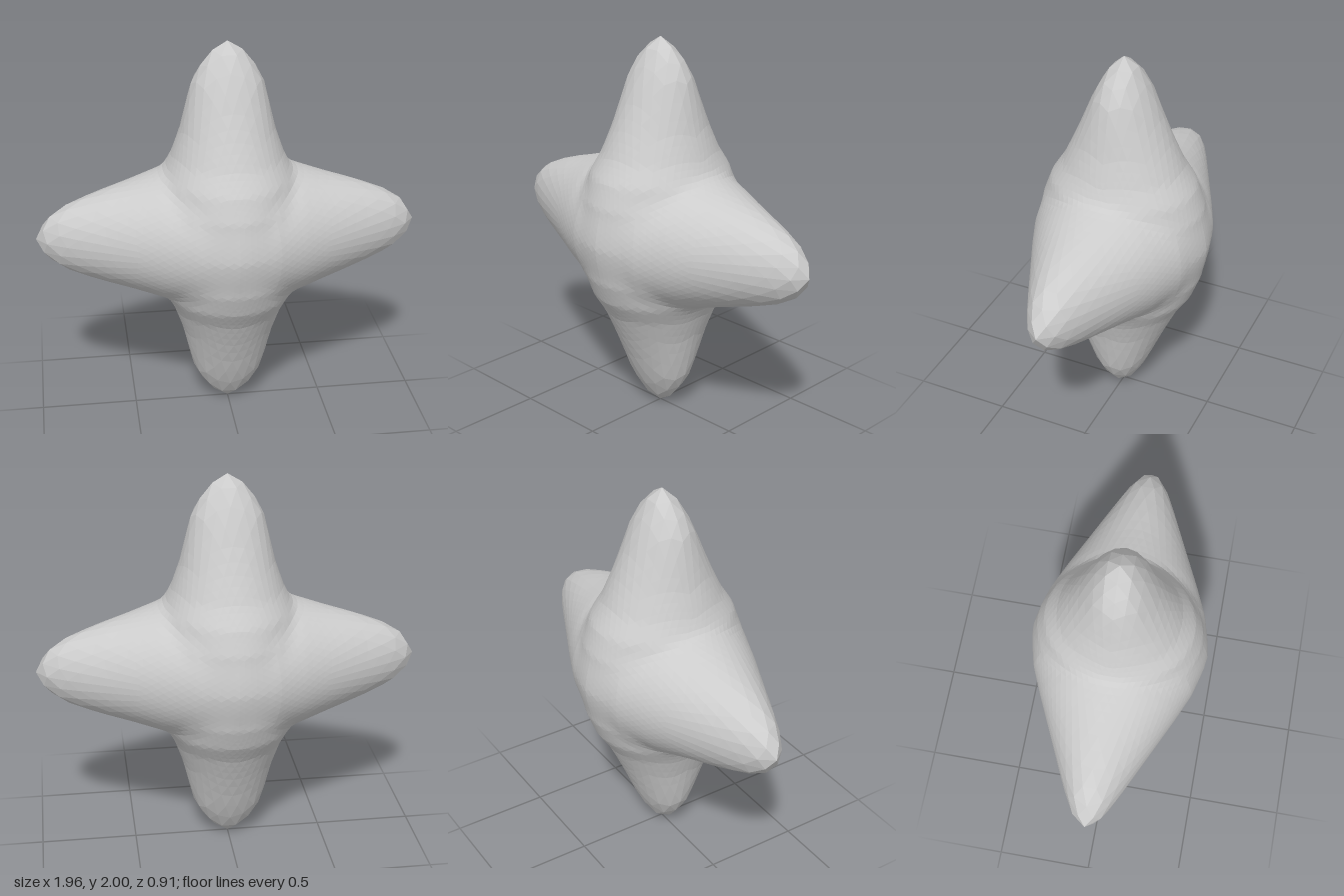
import * as THREE from 'three';

// Each row: distance along the arm, half-width across the front, half-depth
const SIDE_ARM = [
  [0, 0.36, 0.447], [0.2, 0.36, 0.415], [0.35, 0.33, 0.35], [0.5, 0.28, 0.28], [0.65, 0.235, 0.21],
  [0.78, 0.19, 0.15], [0.88, 0.145, 0.1], [0.94, 0.085, 0.062], [0.98, 0, 0],
];
const UPRIGHT_ARM = [
  [0, 0.36, 0.447], [0.2, 0.355, 0.42], [0.32, 0.335, 0.375], [0.42, 0.285, 0.31], [0.55, 0.24, 0.25],
  [0.7, 0.205, 0.185], [0.8, 0.18, 0.145], [0.89, 0.13, 0.1], [0.96, 0.07, 0.055], [1, 0, 0],
];

function sectionAt(rows, s) {
  for (let i = 1; i < rows.length; i++) {
    const a = rows[i - 1], b = rows[i];
    if (s <= b[0]) {
      const f = (s - a[0]) / (b[0] - a[0]);
      return [a[1] + (b[1] - a[1]) * f, a[2] + (b[2] - a[2]) * f];
    }
  }
  return [0, 0];
}

// Distance from the centre to the skin of one arm, along a unit direction
function reach(rows, along, across, depth) {
  let lo = 0, hi = 1.05;
  for (let i = 0; i < 28; i++) {
    const t = (lo + hi) / 2;
    const [w, d] = sectionAt(rows, Math.abs(along) * t);
    const inside = w > 0 && Math.hypot((across * t) / w, (depth * t) / d) < 1;
    if (inside) lo = t; else hi = t;
  }
  return lo;
}

// Rounded maximum, so that the arms flow into each other
function smoothMax(a, b, k) {
  const h = Math.max(k - Math.abs(a - b), 0) / k;
  return Math.max(a, b) + (h * h * k) / 4;
}

export function createModel() {
  const group = new THREE.Group();

  // Faceted ball pulled out into four tapering arms
  const geometry = new THREE.IcosahedronGeometry(1, 15);
  const pos = geometry.attributes.position;
  const v = new THREE.Vector3();
  for (let i = 0; i < pos.count; i++) {
    v.fromBufferAttribute(pos, i).normalize();
    const r = smoothMax(reach(SIDE_ARM, v.x, v.y, v.z), reach(UPRIGHT_ARM, v.y, v.x, v.z), 0.04);
    pos.setXYZ(i, v.x * r, v.y * r, v.z * r);
  }
  geometry.computeVertexNormals();

  const star = new THREE.Mesh(
    geometry,
    new THREE.MeshStandardMaterial({ color: 0xcccccc, flatShading: true }),
  );
  star.name = 'fourPointedStar';
  star.position.y = 1;
  group.add(star);
  return group;
}
